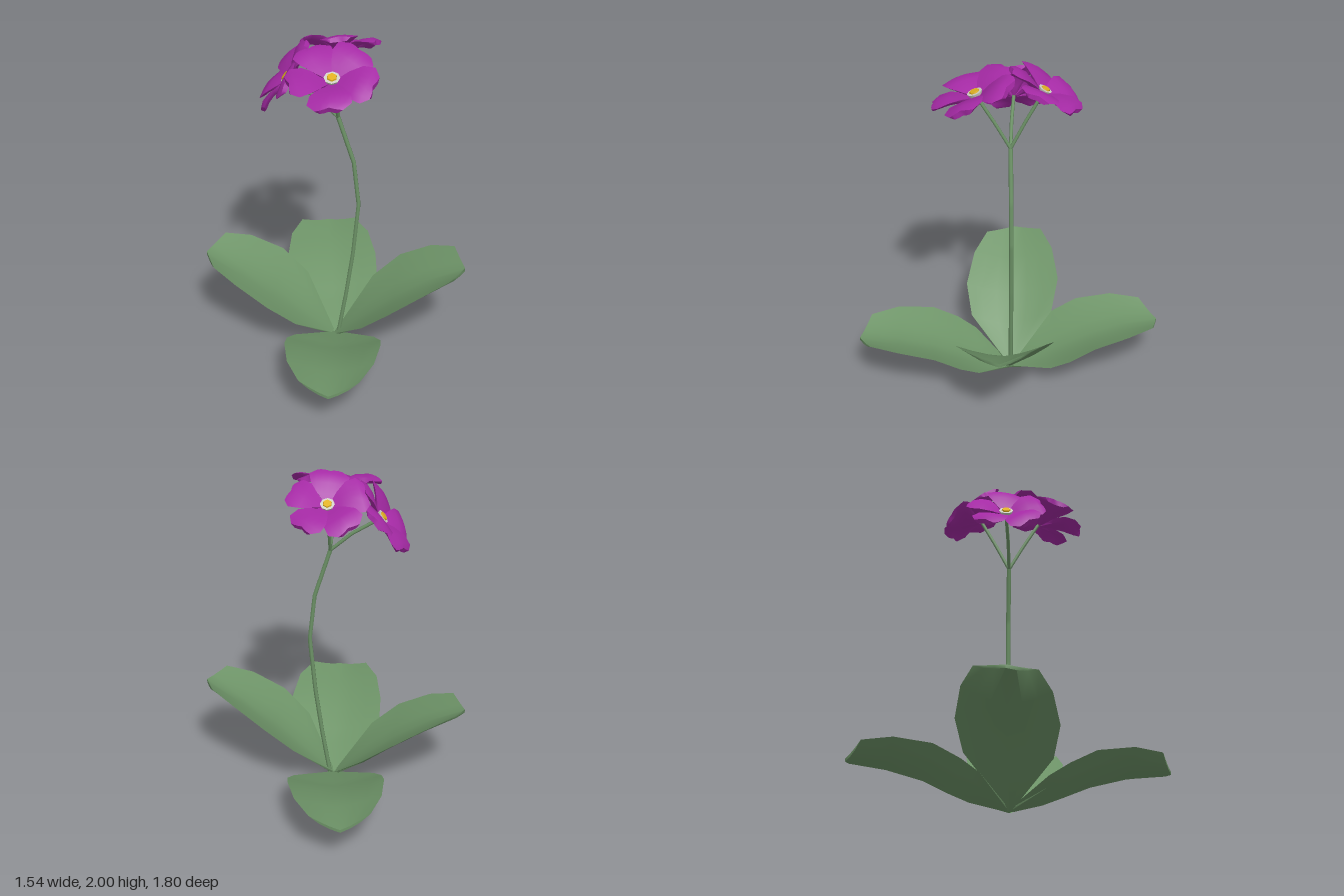
import * as THREE from 'three';
import { toCreasedNormals } from 'three/addons/utils/BufferGeometryUtils.js';

const material = (color) => new THREE.MeshStandardMaterial({ color, side: THREE.DoubleSide });
const green = material(0x6e9468);
const purple = material(0xa52aa5);
const white = material(0xcfcfc4);
const yellow = material(0xe0b020);

const V = (x, y, z) => new THREE.Vector3(x, y, z);

function addMesh(parent, name, geometry, mat) {
  const mesh = new THREE.Mesh(geometry, mat);
  mesh.name = name;
  parent.add(mesh);
  return mesh;
}

// Thin closed blade growing along +z; roll raises its +x side.
// Each row: distance, height, half width, edge lift, edge setback, middle setback.
function blade(rows, cols, thickness, roll = 0) {
  const ring = 2 * cols - 2;
  const positions = [];
  const index = [];
  for (const [d, y, w, lift, setback = 0, notch = 0] of rows) {
    for (let k = 0; k < ring; k++) {
      const j = k < cols ? k : ring - k;
      const v = (2 * j) / (cols - 1) - 1;
      const a = Math.abs(v);
      const under = k < cols ? 0 : thickness * (1 - a ** 4);
      positions.push(
        w * v,
        y + lift * a ** 1.5 + roll * v * (w / 0.1) - under,
        d - setback * a - notch * (1 - a) ** 2
      );
    }
  }
  for (let i = 0; i < rows.length - 1; i++) {
    for (let k = 0; k < ring; k++) {
      const a = i * ring + k;
      const b = i * ring + ((k + 1) % ring);
      index.push(a, a + ring, b, b, a + ring, b + ring);
    }
  }
  // Close the tip
  const last = (rows.length - 1) * ring;
  const under = (j) => last + ((ring - j) % ring);
  for (let j = 0; j < cols - 1; j++) {
    index.push(last + j, under(j), under(j + 1), last + j, under(j + 1), last + j + 1);
  }
  const geometry = new THREE.BufferGeometry();
  geometry.setAttribute('position', new THREE.Float32BufferAttribute(positions, 3));
  geometry.setIndex(index);
  return toCreasedNormals(geometry, 1);
}

// Stalk of straight lengths joined at slight bends
function stalk(parent, name, points, radius) {
  const curve = new THREE.CatmullRomCurve3(points, false, 'catmullrom', 0);
  addMesh(parent, name, new THREE.TubeGeometry(curve, 8 * (points.length - 1), radius, 6), green);
}

// Five notched petals around a pale eye; spin aims the first petal
function flower(name, centre, normal, spin, size, petal) {
  const group = new THREE.Group();
  group.name = name;
  for (let i = 0; i < 5; i++) {
    addMesh(group, 'petal', petal, purple).rotation.y = spin + (i * Math.PI * 2) / 5;
  }
  const eye = addMesh(group, 'flowerEye', new THREE.CylinderGeometry(0.042, 0.03, 0.03, 8), white);
  eye.position.y = 0.01;
  const heart = addMesh(group, 'flowerHeart', new THREE.CylinderGeometry(0.025, 0.028, 0.01, 6), yellow);
  heart.position.y = 0.028;
  group.position.copy(centre);
  group.scale.setScalar(size);
  group.quaternion.setFromUnitVectors(V(0, 1, 0), normal.clone().normalize());
  return group;
}

export function createModel() {
  const plant = new THREE.Group();
  plant.name = 'floweringPlant';

  // Leaves: two low ones front and back, two raised ones at the sides
  const lowLeaf = blade([
    [0, 0.015, 0.01, 0],
    [0.2, 0.08, 0.235, 0.055],
    [0.31, 0.125, 0.275, 0.07],
    [0.46, 0.185, 0.277, 0.085],
    [0.67, 0.24, 0.245, 0.065],
    [0.905, 0.255, 0.17, 0.05, 0.07],
  ], 7, 0.018);
  const raisedLeaf = (roll) => blade([
    [0, 0.015, 0.01, 0],
    [0.2, 0.19, 0.245, 0.085],
    [0.36, 0.335, 0.283, 0.085],
    [0.55, 0.47, 0.243, 0.07],
    [0.775, 0.583, 0.17, 0.02, 0.08],
  ], 7, 0.022, roll);
  const leaves = [
    ['frontLeaf', lowLeaf, 0.02, 1, V(0.01, 0, 0)],
    ['backLeaf', lowLeaf, Math.PI + 0.13, 1, V(0.012, 0, 0)],
    ['leftLeaf', raisedLeaf(0.009), Math.PI / 2 - 0.1, 1, V(0, 0, 0.012)],
    ['rightLeaf', raisedLeaf(-0.009), -Math.PI / 2 - 0.07, 0.915, V(0, 0, 0)],
  ];
  for (const [name, geometry, heading, height, root] of leaves) {
    const leaf = addMesh(plant, name, geometry, green);
    leaf.position.copy(root);
    leaf.rotation.y = heading;
    leaf.scale.y = height;
  }

  // Bent main stem
  const fork = V(0.02, 1.51, 0);
  stalk(plant, 'stem', [
    V(0.025, 0.02, 0), V(0.07, 0.3, 0), V(0.11, 0.6, 0),
    V(0.14, 0.94, 0), V(0.11, 1.22, 0), fork,
  ], 0.013);

  // Flower heads, each on its own stalk from the fork
  const petal = blade([
    [0.015, 0, 0.014, 0],
    [0.07, 0.026, 0.062, 0],
    [0.13, 0.05, 0.102, -0.008],
    [0.19, 0.058, 0.112, -0.018],
    [0.235, 0.046, 0.07, -0.012, 0.008, 0.018],
  ], 7, 0.03, 0.014);
  const heads = [
    ['frontFlower', V(0, 1.825, 0.187), V(0, 0.93, 0.35), 0, 1.07, V(0.01, 1.66, 0.085)],
    ['backFlower', V(0.02, 1.85, -0.178), V(0, 0.86, -0.48), 0, 0.96, V(0.02, 1.67, -0.08)],
    ['rightFlower', V(-0.255, 1.725, -0.03), V(-0.81, 0.58, 0), Math.PI / 2, 0.98, V(-0.1, 1.62, -0.01)],
  ];
  for (const [name, centre, normal, spin, size, bend] of heads) {
    plant.add(flower(name, centre, normal, spin, size, petal));
    stalk(plant, name + 'Stalk', [fork, bend, centre], 0.01);
  }
  return plant;
}
